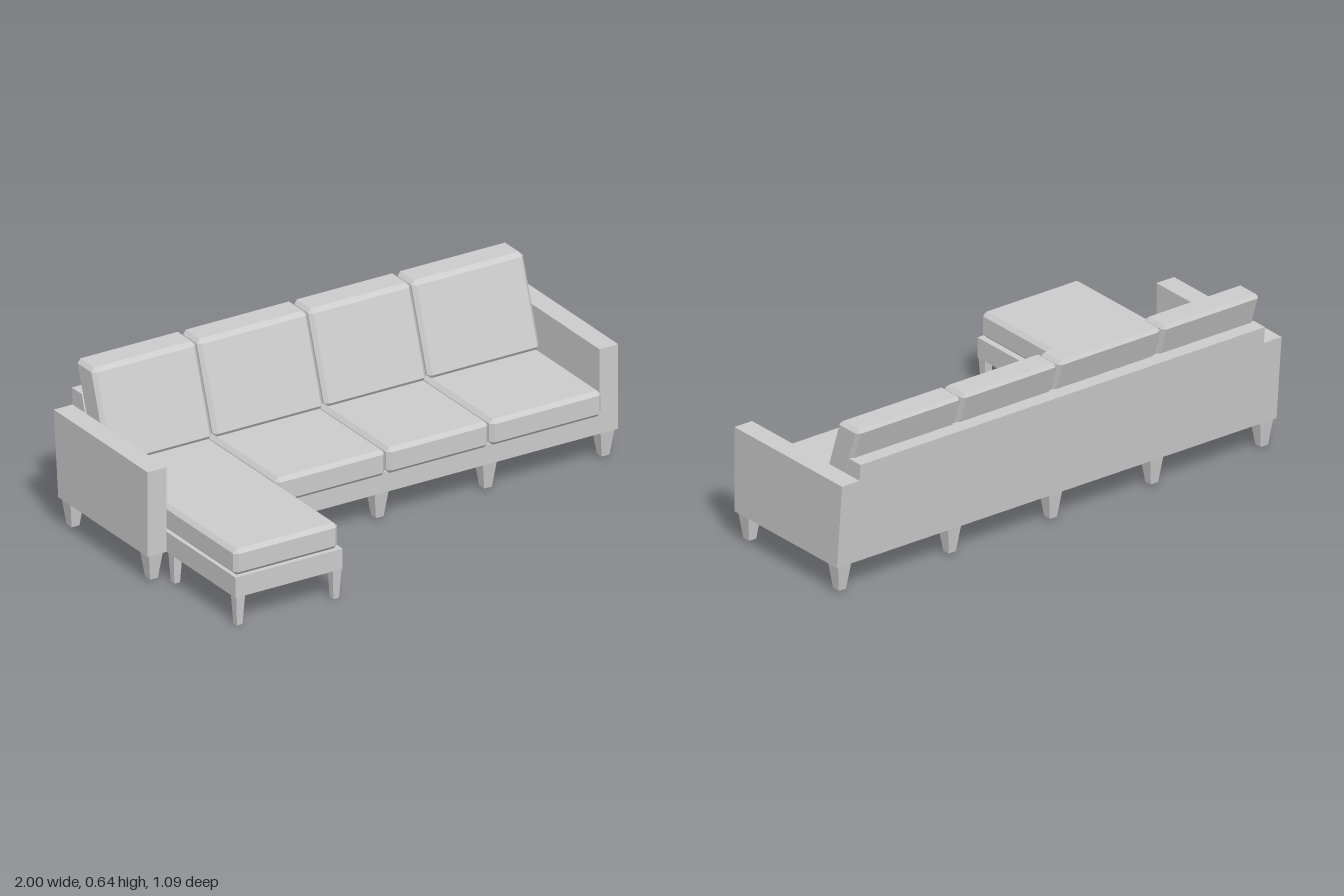
import * as THREE from 'three';
import { ConvexGeometry } from 'three/addons/geometries/ConvexGeometry.js';

const material = new THREE.MeshStandardMaterial({ color: 0xcccccc, flatShading: true });

function add(group, name, geometry) {
  const mesh = new THREE.Mesh(geometry, material);
  mesh.name = name;
  group.add(mesh);
  return mesh;
}

// Solid with a [z, y] side profile, running from x0 to x1
function sideProfile(points, x0, x1) {
  const shape = new THREE.Shape(points.map(([z, y]) => new THREE.Vector2(z, y)));
  const geo = new THREE.ExtrudeGeometry(shape, { depth: x1 - x0, bevelEnabled: false });
  return geo.rotateY(-Math.PI / 2).translate(x1, 0, 0);
}

// Box with chamfered edges; lean shifts z with height
function cushion(x0, x1, y0, y1, z0, z1, chamfer, lean = 0) {
  const half = [(x1 - x0) / 2, (y1 - y0) / 2, (z1 - z0) / 2];
  const points = [];
  for (let axis = 0; axis < 3; axis++) {
    for (const sx of [-1, 1]) for (const sy of [-1, 1]) for (const sz of [-1, 1]) {
      const p = [sx, sy, sz].map((s, i) => s * (half[i] - (i === axis ? 0 : chamfer)));
      const y = p[1] + half[1];
      points.push(new THREE.Vector3(
        p[0] + (x0 + x1) / 2, y + y0, p[2] + (z0 + z1) / 2 + lean * y));
    }
  }
  return new ConvexGeometry(points);
}

// Square tapered leg
function leg(topWidth, bottomWidth, y0, y1) {
  const geo = new THREE.CylinderGeometry(
    topWidth / Math.SQRT2, bottomWidth / Math.SQRT2, y1 - y0, 4);
  return geo.rotateY(Math.PI / 4).translate(0, (y0 + y1) / 2, 0);
}

export function createModel() {
  const sofa = new THREE.Group();
  sofa.name = 'sectionalSofa';

  const bottom = 0.115, deck = 0.195, front = 0.086;
  const armTop = 0.45, backTop = 0.515, inner = 0.92;
  const backZ = (y) => -0.51 - 0.0875 * (y - bottom);

  // Frame: base, chaise base, sloping back panel and arms
  add(sofa, 'base', sideProfile(
    [[backZ(bottom), bottom], [front, bottom], [front, deck], [backZ(deck), deck]], -inner, inner));
  add(sofa, 'chaiseBase', sideProfile(
    [[front, bottom], [0.545, bottom], [0.545, deck], [front, deck]], -inner, -0.465));
  add(sofa, 'backPanel', sideProfile(
    [[backZ(deck), deck], [-0.41, deck], [-0.41, 0.3], [-0.478, backTop], [backZ(backTop), backTop]],
    -inner, inner));
  const armProfile =
    [[backZ(bottom), bottom], [front, bottom], [front, armTop], [backZ(armTop), armTop]];
  add(sofa, 'rightArm', sideProfile(armProfile, -1, -inner));
  add(sofa, 'leftArm', sideProfile(armProfile, inner, 1));

  // Cushions: the first seat is the long chaise
  const spans = [[-0.918, -0.476], [-0.47, -0.003], [0.003, 0.436], [0.442, 0.916]];
  spans.forEach(([x0, x1], i) => {
    const seatFront = i === 0 ? 0.54 : 0.115;
    add(sofa, i === 0 ? 'chaiseCushion' : 'seatCushion' + i,
      cushion(x0, x1, deck, 0.297, -0.41, seatFront, 0.015));
    add(sofa, 'backCushion' + (i + 1),
      cushion(x0, x1, 0.297, 0.639, -0.412, -0.293, 0.014, -0.337));
  });

  // Main legs in two rows of five
  for (const z of [0.048, -0.474]) {
    for (const x of [-0.96, -0.46, 0, 0.46, 0.96]) {
      add(sofa, 'leg', leg(0.06, 0.033, 0.01, bottom)).position.set(x, 0, z);
    }
  }

  // Slimmer chaise legs
  for (const z of [0.525, 0.109]) {
    for (const x of [-0.897, -0.487]) {
      add(sofa, 'chaiseLeg', leg(0.037, 0.024, 0, bottom)).position.set(x, 0, z);
    }
  }
  return sofa;
}
